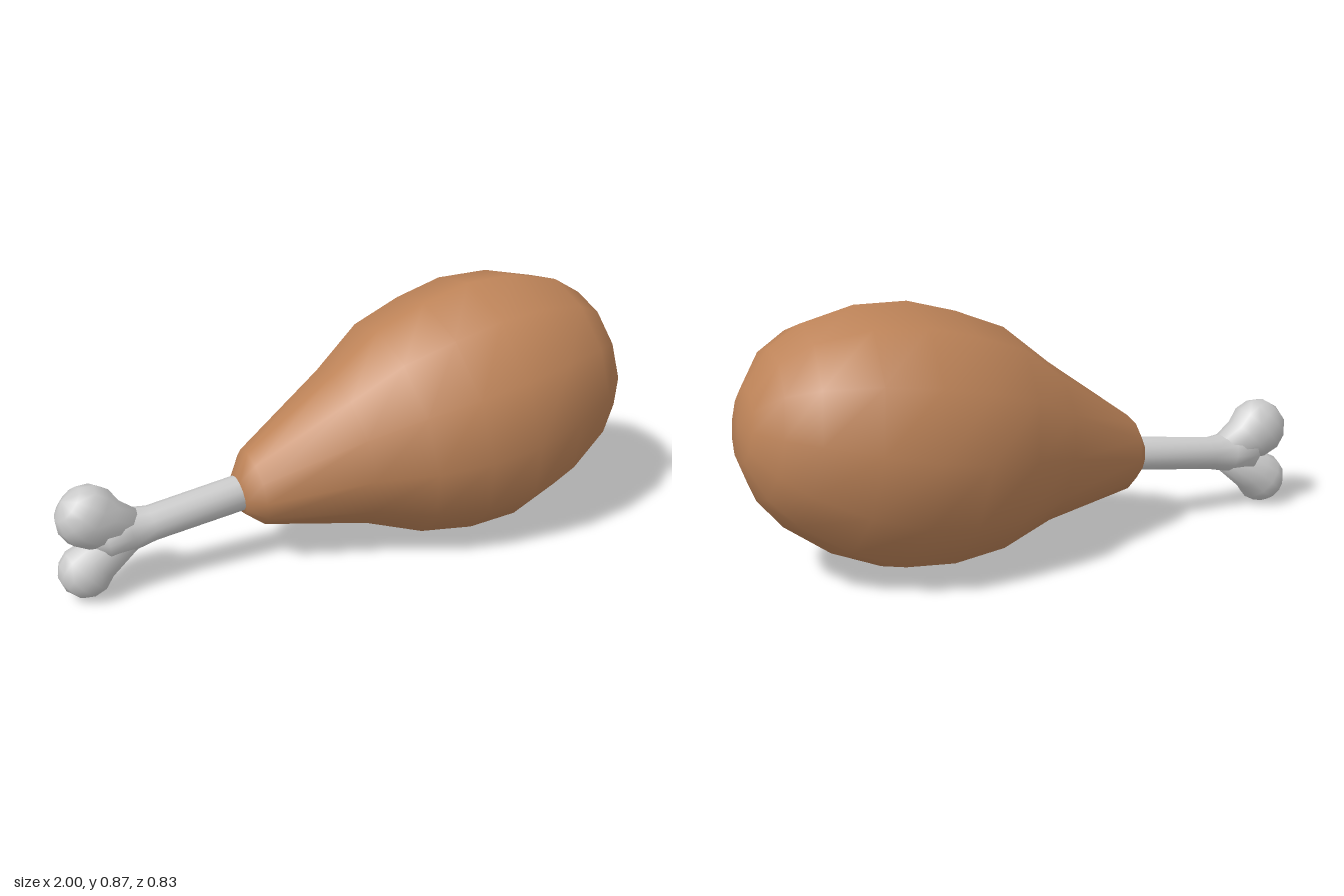
import * as THREE from 'three';
import { mergeVertices } from 'three/addons/utils/BufferGeometryUtils.js';

// Smooth closed loft: each ring is [x, y, radius], tilted to face `angle` in the xy plane
function loft(rings, angle, sides, depth = 1, roll = 0) {
  const positions = [];
  const index = [];
  for (const [x, y, r] of rings) {
    for (let j = 0; j < sides; j++) {
      const t = roll + (j / sides) * Math.PI * 2;
      const up = Math.cos(t) * r;
      positions.push(x - Math.sin(angle) * up, y + Math.cos(angle) * up, Math.sin(t) * r * depth);
    }
  }
  for (let i = 0; i < rings.length - 1; i++) {
    for (let j = 0; j < sides; j++) {
      const a = i * sides + j;
      const b = i * sides + ((j + 1) % sides);
      index.push(a, b, a + sides, b, b + sides, a + sides);
    }
  }
  let geometry = new THREE.BufferGeometry();
  geometry.setAttribute('position', new THREE.Float32BufferAttribute(positions, 3));
  geometry.setIndex(index);
  geometry = mergeVertices(geometry, 1e-5);
  geometry.computeVertexNormals();
  return geometry;
}

// Rings of a narrow neck that swells into a round knob
function knobRings(neck, center, radius, angle) {
  const rings = [[neck[0], neck[1], 0], neck];
  for (const t of [-0.5, 0, 0.45, 0.8, 1]) {
    const r = t < 0 ? radius * 0.87 : radius * Math.sqrt(1 - t * t);
    rings.push([
      center[0] + Math.cos(angle) * t * radius,
      center[1] + Math.sin(angle) * t * radius,
      r,
    ]);
  }
  return rings;
}

export function createModel() {
  const model = new THREE.Group();
  model.name = 'drumstick';
  const meatMaterial = new THREE.MeshStandardMaterial({ color: 0xbd8358 });
  const boneMaterial = new THREE.MeshStandardMaterial({ color: 0xcccccc });
  const add = (parent, name, geometry, material) => {
    const mesh = new THREE.Mesh(geometry, material);
    mesh.name = name;
    parent.add(mesh);
  };

  // Meat: twelve-sided pear, bending slightly upwards
  const meatRings = [
    [-0.385, 0.265, 0], [-0.39, 0.265, 0.07], [-0.34, 0.28, 0.13],
    [-0.02, 0.36, 0.27], [0.155, 0.395, 0.37], [0.33, 0.42, 0.415],
    [0.495, 0.452, 0.43], [0.665, 0.49, 0.395], [0.825, 0.525, 0.318],
    [0.915, 0.542, 0.237], [0.977, 0.547, 0.117], [0.99, 0.55, 0],
  ];
  add(model, 'meat', loft(meatRings, 0.15, 12, 0.965, 0.058), meatMaterial);

  // Bone: shaft that widens into two knobs
  const bone = new THREE.Group();
  bone.name = 'bone';
  model.add(bone);
  const shaftRings = [
    [-0.3, 0.282, 0], [-0.3, 0.282, 0.06], [-0.69, 0.227, 0.058],
    [-0.77, 0.222, 0.072], [-0.85, 0.218, 0.08], [-0.93, 0.2, 0],
  ];
  add(bone, 'shaft', loft(shaftRings, Math.PI + 0.14, 12), boneMaterial);
  const upper = Math.PI * 0.77;
  add(bone, 'upperKnob',
    loft(knobRings([-0.76, 0.225, 0.065], [-0.892, 0.295], 0.106, upper), upper, 12, 0.87), boneMaterial);
  const lower = Math.PI * 1.23;
  add(bone, 'lowerKnob',
    loft(knobRings([-0.78, 0.2, 0.06], [-0.913, 0.108], 0.09, lower), lower, 12, 0.95), boneMaterial);

  return model;
}
